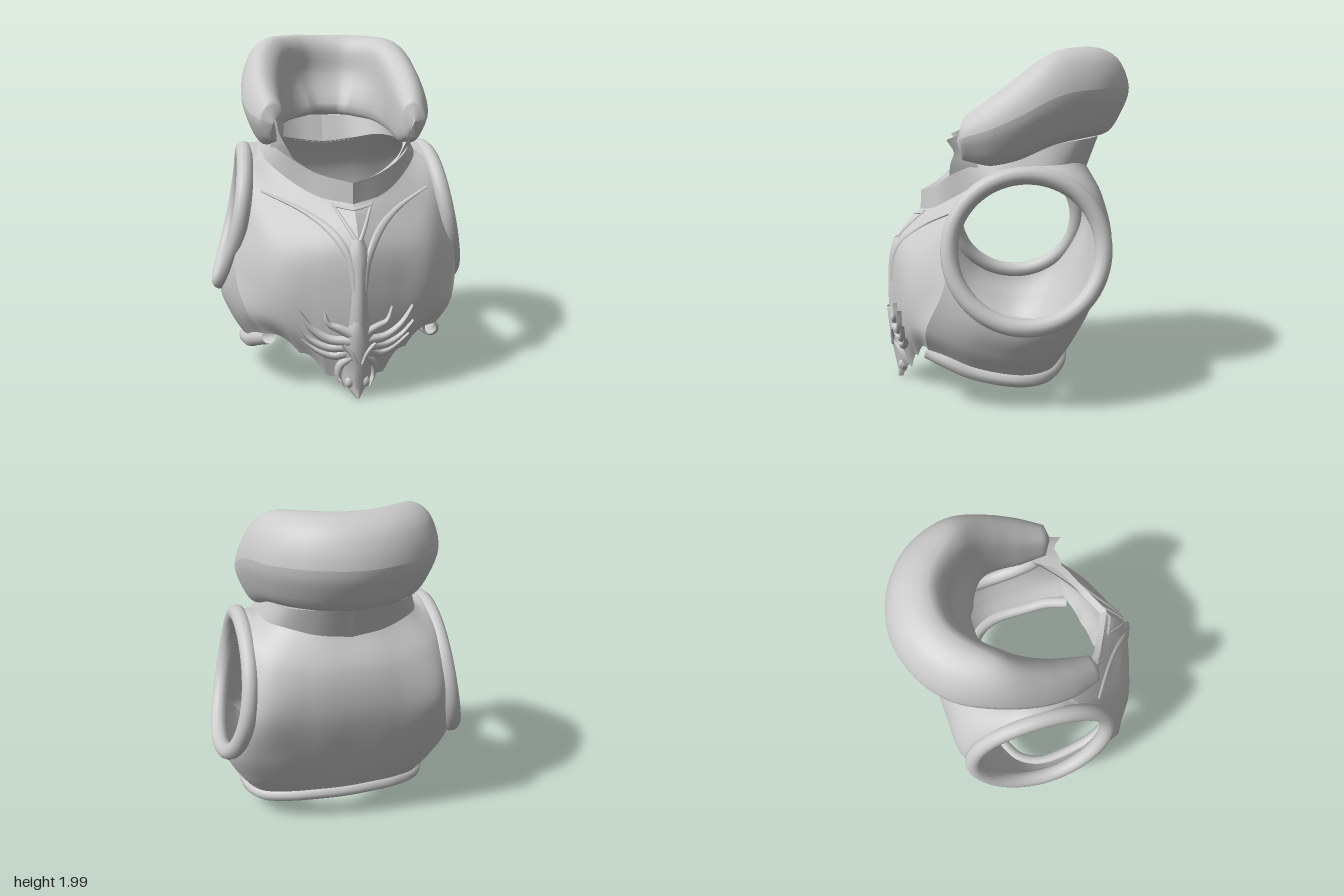
import * as THREE from 'three';

const V = (p) => new THREE.Vector3(...p);
const mirror = (lines) => lines.map((l) => l.map(([x, ...r]) => [-x, ...r])).reverse();
const material = new THREE.MeshStandardMaterial({ color: 0xcccccc, side: THREE.DoubleSide });

// Indexed sheet from a point rule at(u, v); keep() may drop triangles to cut holes
function sheet(nu, nv, at, keep = () => true) {
  const pts = [], index = [];
  for (let i = 0; i <= nu; i++) for (let j = 0; j <= nv; j++) pts.push(at(i / nu, j / nv));
  const c = new THREE.Vector3();
  const tri = (a, b, d) => {
    c.copy(pts[a]).add(pts[b]).add(pts[d]).divideScalar(3);
    if (keep(c)) index.push(a, b, d);
  };
  for (let i = 0; i < nu; i++) for (let j = 0; j < nv; j++) {
    const a = i * (nv + 1) + j, b = a + nv + 1;
    tri(a, b, b + 1);
    tri(a, b + 1, a + 1);
  }
  const g = new THREE.BufferGeometry().setFromPoints(pts);
  g.setIndex(index);
  g.computeVertexNormals();
  return g;
}

// Smooth skin through upright lines, each running from bottom to top
function loft(lines, nu, nv, keep, warp) {
  const curves = lines.map((l) => new THREE.CatmullRomCurve3(l.map(V)));
  const rows = [];
  for (let j = 0; j <= nv; j++) rows.push(new THREE.CatmullRomCurve3(curves.map((c) => c.getPoint(j / nv))));
  return sheet(nu, nv, (u, v) => {
    const p = rows[Math.round(v * nv)].getPoint(u);
    if (warp) warp(p, u, v);
    return p;
  }, keep);
}

// Upright lines of the left half: front centre to side crease, then crease to back centre
const crease = [[.495, .34, .45], [.58, .47, .455], [.635, .7, .36], [.595, .92, .31], [.555, 1.18, .2], [.45, 1.3, .1]];
const frontLines = [
  [[0, .03, .63], [0, .3, .68], [0, .6, .7], [0, .85, .67], [0, 1, .58], [0, 1.06, .51]],
  [[.16, .12, .57], [.2, .32, .62], [.22, .6, .635], [.22, .82, .605], [.2, 1, .49], [.17, 1.1, .42]],
  [[.3, .24, .52], [.38, .42, .565], [.42, .62, .56], [.42, .82, .51], [.39, 1.03, .385], [.32, 1.19, .28]],
  crease,
];
const sideLines = [
  crease,
  [[.54, .225, .2], [.64, .38, .18], [.695, .55, .15], [.62, .92, .15], [.55, 1.28, .08], [.45, 1.335, 0]],
  [[.55, .18, -.06], [.64, .33, -.1], [.7, .5, -.1], [.61, .92, -.1], [.545, 1.33, -.1], [.44, 1.35, -.1]],
  [[.48, .18, -.2], [.56, .36, -.29], [.63, .58, -.37], [.59, .92, -.45], [.54, 1.25, -.34], [.42, 1.36, -.25]],
  [[.34, .2, -.28], [.4, .4, -.39], [.46, .62, -.48], [.51, .92, -.55], [.45, 1.18, -.49], [.34, 1.37, -.36]],
  [[.17, .21, -.315], [.2, .4, -.42], [.22, .62, -.51], [.24, .92, -.575], [.22, 1.15, -.55], [.18, 1.34, -.45]],
];
const backLine = [[0, .21, -.325], [0, .4, -.43], [0, .62, -.51], [0, .92, -.58], [0, 1.15, -.56], [0, 1.32, -.47]];

// Neck band lines, bottom edge to top edge
const neckLines = [
  [[0, 1.05, .515], [0, 1.17, .51]],
  [[.18, 1.09, .425], [.18, 1.215, .415]],
  [[.33, 1.175, .29], [.325, 1.295, .315]],
  [[.455, 1.29, .1], [.41, 1.37, .14]],
  [[.45, 1.34, -.1], [.41, 1.44, -.1]],
  [[.43, 1.35, -.25], [.39, 1.47, -.28]],
  [[.35, 1.36, -.37], [.32, 1.49, -.43]],
  [[.18, 1.33, -.455], [.17, 1.5, -.52]],
  [[0, 1.31, -.475], [0, 1.5, -.545]],
];

// Collar stations: centre, then half thickness and half height
const collarCentres = [[.41, 1.49, .25], [.435, 1.53, .1], [.44, 1.6, -.05], [.405, 1.71, -.25], [.31, 1.74, -.42], [.17, 1.75, -.525]];
const collarSizes = [[.07, .11, 0], [.1, .18, 0], [.115, .22, 0], [.13, .25, 0], [.15, .25, 0], [.155, .25, 0]];

export function createModel() {
  const model = new THREE.Group();
  const add = (name, geometry, parent = model) => {
    const m = new THREE.Mesh(geometry, material);
    m.name = name;
    parent.add(m);
    return m;
  };

  // Torso shell with oval arm openings
  const outsideArm = (p) => Math.abs(p.x) < .4 || ((p.z + .1) / .41) ** 2 + ((p.y - .915) / .39) ** 2 > 1;
  const scallop = (k) => (p, u, v) => {
    const s = k > 0 ? u : 1 - u;
    p.y += .035 * Math.abs(Math.sin(s * Math.PI * 3)) * (1 - v) ** 6;
  };
  const fronts = [
    add('leftChestPlate', loft(frontLines, 48, 56, outsideArm, scallop(1))),
    add('rightChestPlate', loft(mirror(frontLines), 48, 56, outsideArm, scallop(-1))),
  ];
  add('backAndSides', loft([...sideLines, backLine, ...mirror(sideLines)], 150, 72, outsideArm));

  // Rolled rims round the arm openings, flaring outward at the bottom
  for (const s of [1, -1]) {
    const ring = [];
    for (let i = 0; i < 32; i++) {
      const a = (i / 32) * Math.PI * 2, c = Math.cos(a), h = Math.sin(a);
      const x = .59 - .08 * h + .035 * h * h + .012 * c;
      ring.push(new THREE.Vector3(s * x, .915 + .395 * h, -.09 + .413 * c));
    }
    add(s > 0 ? 'leftArmRim' : 'rightArmRim',
      new THREE.TubeGeometry(new THREE.CatmullRomCurve3(ring, true), 80, .048, 12, true));
  }

  // Rolled hem round the sides and back
  const hem = [[.46, .32, .45], [.515, .275, .33], ...[...sideLines.slice(1), backLine].map((l) => l[0])];
  const hemPath = [...hem, ...mirror([hem])[0].slice(0, -1).reverse()].map(V);
  add('hemRim', new THREE.TubeGeometry(new THREE.CatmullRomCurve3(hemPath), 120, .042, 10));

  // Neck band, pointed at the front, with a narrow inward lip
  const lip = neckLines.map(([, t]) => [t, [t[0] * .92, t[1] - .01, t[2] * .92]]);
  for (const [name, lines] of [['neckBand', neckLines], ['neckLip', lip]]) {
    add(name, loft(lines, 48, 6));
    add(name, loft(mirror(lines), 48, 6));
  }

  // Upright lapel tabs in front of the collar
  const tab = [
    [[.29, 1.27, .33], [.34, 1.36, .32], [.37, 1.42, .3], [.39, 1.49, .34]],
    [[.4, 1.28, .15], [.41, 1.35, .17], [.415, 1.45, .2], [.405, 1.53, .24]],
  ];
  add('leftLapel', loft(tab, 4, 12));
  add('rightLapel', loft(mirror(tab), 4, 12));

  // Padded collar: sections swept in a horseshoe, with a lining that slopes inward at the back
  const arch = (list, mid, sign) => new THREE.CatmullRomCurve3(
    [...list, mid, ...list.map(([x, y, z]) => [sign * x, y, z]).reverse()].map(V));
  const centre = arch(collarCentres, [0, 1.75, -.56], -1), size = arch(collarSizes, [.16, .25, 0], 1);
  const section = (back) => new THREE.CatmullRomCurve3([
    [1, .1, 0], [.55, .78, 0], [-.1 - .45 * back, 1, 0], [-.85 - .15 * back, .68, 0], [-1 - .12 * back, 0, 0],
    [-.85 - .85 * back, -.88, 0], [-.2 - .4 * back, -1, 0], [.25, -.92, 0], [.7, -.5, 0]].map(V), true);
  add('collar', sheet(72, 36, (u, v) => {
    const t = THREE.MathUtils.clamp((u - .03) / .94, 0, 1);
    const over = Math.max(0, .03 - u, u - .97);
    const end = Math.sqrt(Math.max(0, 1 - over ** 2 / .0009));
    const p = centre.getPoint(t), s = size.getPoint(t), d = centre.getTangent(t);
    const q = section(THREE.MathUtils.smoothstep(-p.z, .05, .45)).getPoint(v);
    const out = new THREE.Vector3(d.z, 0, -d.x).normalize();
    if (out.dot(new THREE.Vector3(p.x, 0, p.z + .05)) < 0) out.negate();
    p.addScaledVector(d, (u < .5 ? -1 : 1) * (1 - end) * .035);
    p.addScaledVector(out, s.x * q.x * end);
    p.y += s.y * q.y * end;
    return p;
  }));

  // Depth of the chest at x, y
  model.updateMatrixWorld(true);
  const ray = new THREE.Raycaster(), dir = new THREE.Vector3(0, 0, -1);
  const depth = (x, y) => {
    ray.set(new THREE.Vector3(x, y, 3), dir);
    const hit = ray.intersectObjects(fronts)[0];
    return hit && hit.point.z > .15 ? hit.point.z : .64 - Math.abs(x) * .4;
  };

  // Raised ornament strips laid on the chest: path points are x, y, half width
  const ornament = new THREE.Group();
  ornament.name = 'chestOrnament';
  model.add(ornament);
  const strip = (name, path, h, n = 20) => {
    const c = new THREE.CatmullRomCurve3(path.map(V));
    add(name, sheet(n, 6, (u, v) => {
      const p = c.getPoint(u), d = c.getTangent(u), l = Math.hypot(d.x, d.y) || 1, k = (v * 2 - 1) * p.z;
      const x = p.x - (d.y / l) * k, y = p.y + (d.x / l) * k;
      return new THREE.Vector3(x, y, depth(x, y) + .003 + h * Math.sqrt(Math.max(0, 1 - (v * 2 - 1) ** 2)));
    }), ornament);
  };
  strip('centreRidge', [[0, .4, .06], [0, .55, .045], [0, .7, .042], [0, .8, .055], [0, .89, .03]], .016);
  strip('snout', [[0, .46, .04], [0, .36, .085], [0, .28, .1], [0, .18, .075], [0, .1, .075], [0, .012, .012]], .03);
  const branches = [
    ['chestBranch', [[.03, .62, .012], [.05, .78, .02], [.12, .91, .022], [.25, 1.01, .014], [.48, 1.11, .005]], .012],
    ['throatLine', [[.01, .88, .012], [.06, .97, .01], [.11, 1.06, .006]], .01],
    ['innerHorn', [[.04, .38, .03], [.1, .41, .025], [.16, .44, .016], [.185, .52, .002]], .025],
    ['upperHorn', [[.05, .34, .03], [.16, .35, .027], [.25, .41, .02], [.31, .51, .002]], .028],
    ['middleHorn', [[.05, .31, .03], [.16, .3, .025], [.25, .34, .017], [.32, .42, .002]], .025],
    ['lowerHorn', [[.05, .28, .03], [.13, .25, .025], [.22, .28, .015], [.3, .34, .002]], .022],
    ['cheek', [[.04, .25, .02], [.09, .2, .022], [.1, .13, .016], [.07, .07, .004]], .03],
    ['brow', [[.015, .22, .012], [.045, .28, .02], [.09, .33, .012]], .042],
  ];
  for (const [name, path, h] of branches) {
    strip(name, path, h);
    strip(name, mirror([path])[0], h);
  }
  strip('throatBar', [[-.11, 1.05, .006], [0, 1.035, .008], [.11, 1.05, .006]], .01);
  for (const s of [1, -1]) {
    const nostril = new THREE.SphereGeometry(.024, 14, 10);
    nostril.scale(1, 1.3, .9);
    nostril.translate(s * .045, .1, depth(s * .045, .12) + .018);
    add('nostril', nostril, ornament);
  }

  return model;
}
